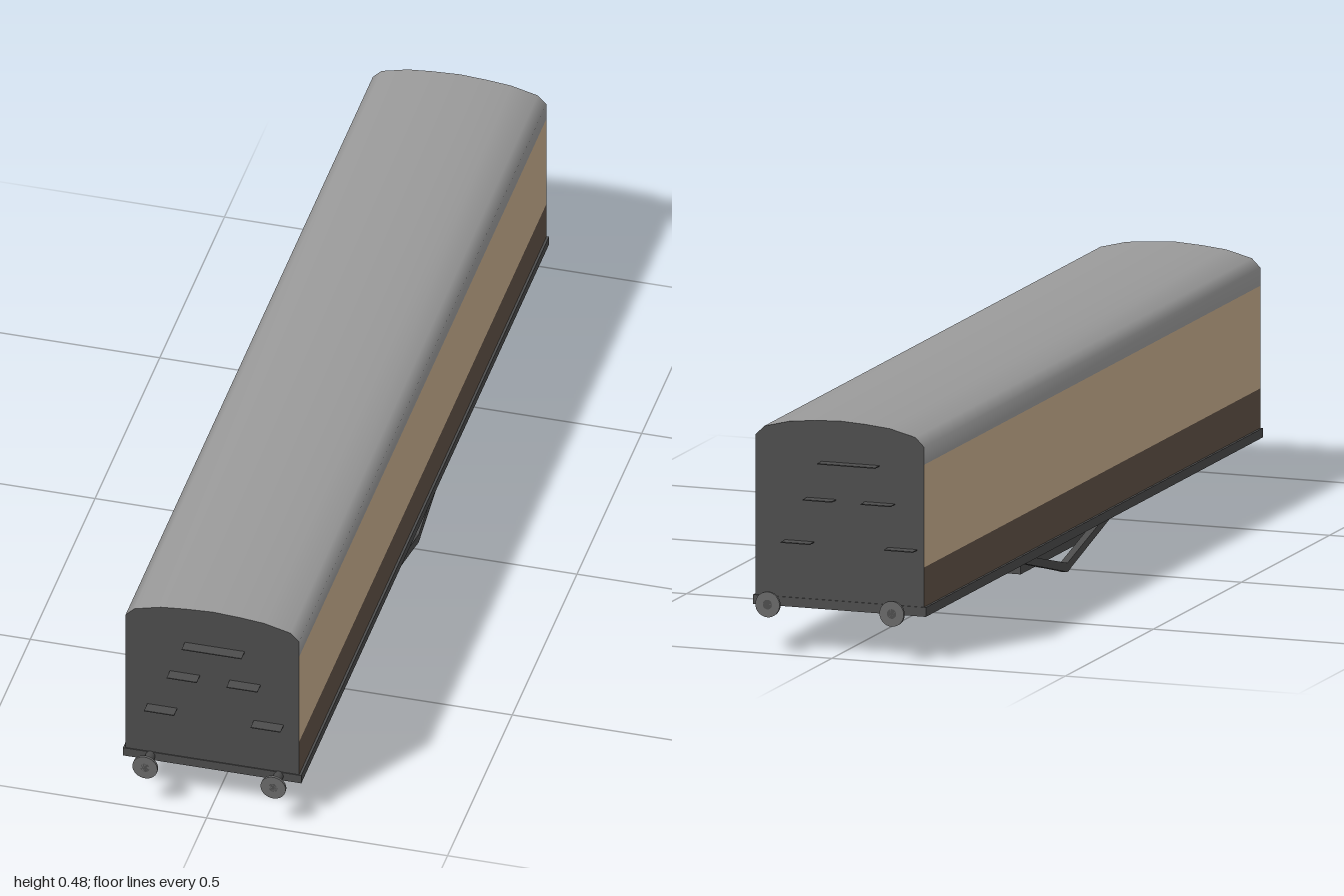
import * as THREE from 'three';
import { toCreasedNormals } from 'three/addons/utils/BufferGeometryUtils.js';

const paint = (color) => new THREE.MeshStandardMaterial({ color });
const ROOF = paint(0x9a9a9a);
const TAN = paint(0xc8ae8e);
const BROWN = paint(0x605246);
const DARK = paint(0x4c4c4c);
const BUFFER = paint(0x686868);

const BODY_LENGTH = 1.91;

// Box given by its minimum and maximum corners
function box(name, [x0, y0, z0], [x1, y1, z1], material = DARK) {
  const mesh = new THREE.Mesh(new THREE.BoxGeometry(x1 - x0, y1 - y0, z1 - z0), material);
  mesh.position.set((x0 + x1) / 2, (y0 + y1) / 2, (z0 + z1) / 2);
  mesh.name = name;
  return mesh;
}

// Symmetric cross-section run along the body, dark at both ends
function bodySection(name, halfProfile, material) {
  const left = halfProfile.filter(([x]) => x > 0).reverse().map(([x, y]) => [-x, y]);
  const shape = new THREE.Shape([...halfProfile, ...left].map(([x, y]) => new THREE.Vector2(x, y)));
  const geometry = new THREE.ExtrudeGeometry(shape, { depth: BODY_LENGTH, bevelEnabled: false });
  geometry.translate(0, 0, -BODY_LENGTH / 2);
  const mesh = new THREE.Mesh(toCreasedNormals(geometry, 0.95), [DARK, material]);
  mesh.name = name;
  return mesh;
}

// V-shaped bar under the floor
function trussRod(x0, x1) {
  const shape = new THREE.Shape([
    [-0.41, 0.1], [-0.05, 0.006], [-0.03, 0], [-0.02, 0], [0, 0.006], [0.36, 0.1],
    [0.3, 0.1], [-0.025, 0.018], [-0.35, 0.1],
  ].map(([z, y]) => new THREE.Vector2(z, y)));
  const geometry = new THREE.ExtrudeGeometry(shape, { depth: x1 - x0, bevelEnabled: false });
  geometry.rotateY(-Math.PI / 2).translate(x1, 0, 0);
  const mesh = new THREE.Mesh(geometry, DARK);
  mesh.name = 'trussRod';
  return mesh;
}

// Rectangular frame with a middle cross bar
function underFrame(z0, z1) {
  const group = new THREE.Group();
  group.name = 'underFrame';
  const [x0, x1, y0, y1, w] = [-0.147, 0.14, 0.072, 0.092, 0.016];
  for (const x of [x0, x1 - w]) group.add(box('longBar', [x, y0, z0], [x + w, y1, z1]));
  for (const z of [z0, (z0 + z1 - w) / 2, z1 - w]) {
    group.add(box('crossBar', [x0 + w, y0, z], [x1 - w, y1, z + w]));
  }
  return group;
}

// Round buffer on a thin shaft, pointing along +z or -z
function buffer(x, side) {
  const group = new THREE.Group();
  group.name = 'buffer';
  const shaft = new THREE.Mesh(new THREE.CylinderGeometry(0.01, 0.01, 0.045, 16), DARK);
  shaft.name = 'bufferShaft';
  shaft.position.y = 0.0225;
  const head = new THREE.Mesh(new THREE.CylinderGeometry(0.026, 0.026, 0.006, 32), BUFFER);
  head.name = 'bufferHead';
  head.position.y = 0.042;
  group.add(shaft, head);
  group.rotation.x = side * Math.PI / 2;
  group.position.set(x, 0.1, side * 0.955);
  return group;
}

export function createModel() {
  const model = new THREE.Group();
  model.name = 'railwayCarriage';

  // Body bands and curved roof
  model.add(
    bodySection('lowerPanels', [[0.18, 0.108], [0.18, 0.19]], BROWN),
    bodySection('upperPanels', [[0.18, 0.19], [0.18, 0.4]], TAN),
    bodySection('roof', [
      [0.18, 0.4], [0.18, 0.437], [0.162, 0.455], [0.107, 0.469], [0.055, 0.474], [0, 0.477],
    ], ROOF),
  );

  // Floor and equipment below it
  const half = BODY_LENGTH / 2;
  model.add(
    box('floor', [-0.185, 0.09, -half - 0.002], [0.185, 0.109, half + 0.002]),
    box('equipmentBox', [-0.11, 0.03, -0.22], [0.135, 0.092, 0.18]),
    trussRod(-0.137, -0.122),
    trussRod(0.15, 0.165),
    underFrame(0.43, 0.8),
    underFrame(-0.87, -0.5),
  );

  // Steps and buffers; the steps on the back are turned half round
  const steps = [
    [-0.057, 0.067, 0.391], [-0.088, -0.026, 0.315], [0.036, 0.1, 0.315],
    [-0.135, -0.073, 0.225], [0.086, 0.148, 0.225],
  ];
  for (const side of [1, -1]) {
    const end = new THREE.Group();
    end.name = side > 0 ? 'frontSteps' : 'backSteps';
    for (const [x0, x1, y] of steps) {
      end.add(box('step', [x0, y - 0.001, half - 0.005], [x1, y + 0.001, 0.98]));
    }
    if (side < 0) {
      end.rotation.y = Math.PI;
      end.position.x = -0.018;
    }
    model.add(end, buffer(-0.128, side), buffer(0.138, side));
  }
  return model;
}
